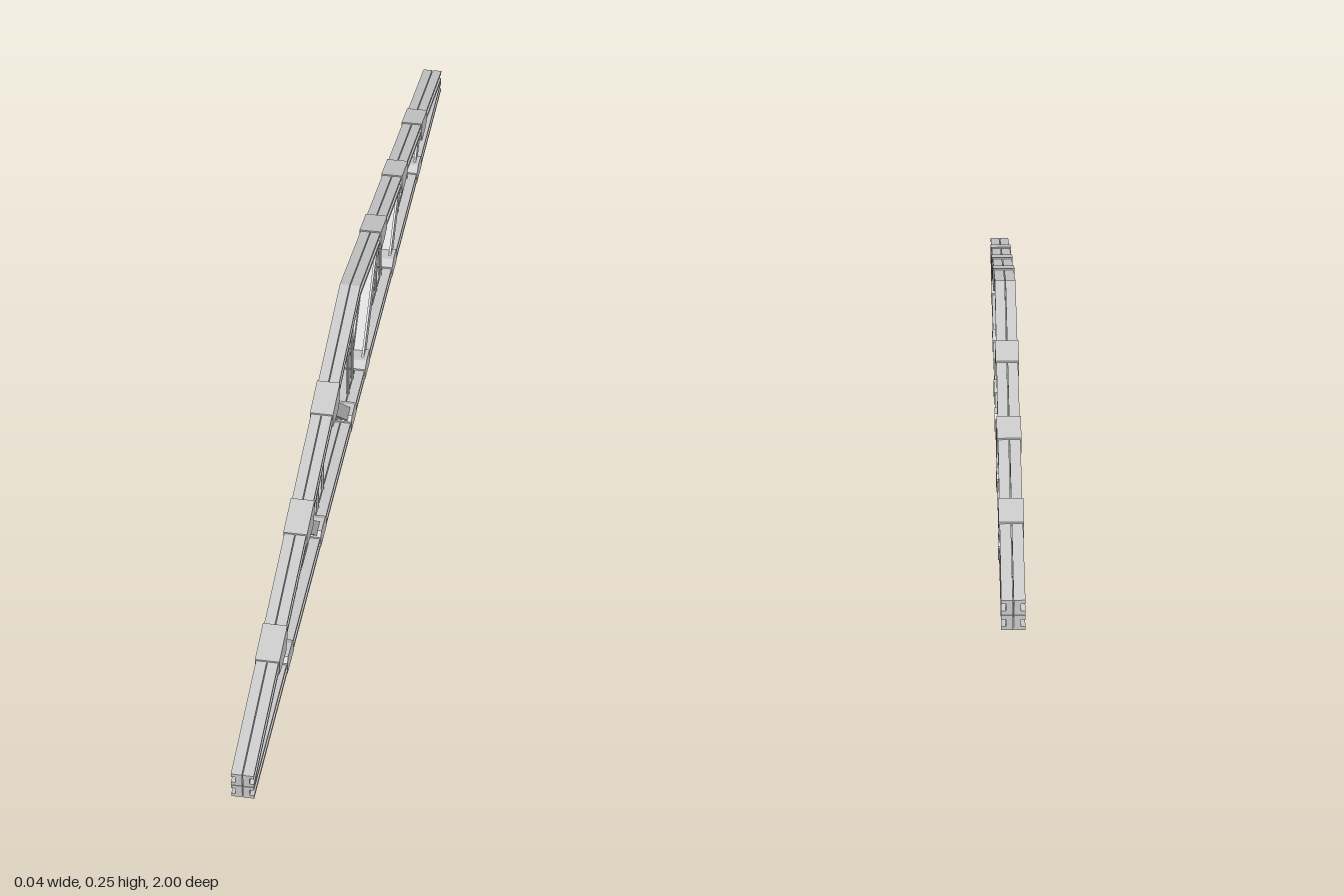
import * as THREE from 'three';

const mat = new THREE.MeshStandardMaterial({ color: 0xcccccc, flatShading: true });
const SLOPE = 0.198, APEX = 0.245, CHORD = 0.023, HALF = 0.0178;
const topAt = (z) => APEX - SLOPE * z;

function add(group, name, geometry) {
  const mesh = new THREE.Mesh(geometry, mat);
  mesh.name = name;
  group.add(mesh);
  return mesh;
}

function polygon(points) {
  return new THREE.Shape(points.map(([x, y]) => new THREE.Vector2(x, y)));
}

// One channel of a double chord: grooved outwards, with a narrow gap at x = 0
function channel(side, length) {
  const a = 0.0007, g = 0.011, h = CHORD;
  const pts = [[a, 0], [HALF, 0], [HALF, 0.006], [g, 0.006],
    [g, h - 0.006], [HALF, h - 0.006], [HALF, h], [a, h]];
  const shape = polygon(pts.map(([x, y]) => [x * side, y]));
  return new THREE.ExtrudeGeometry(shape, { depth: length, bevelEnabled: false });
}

// Lean a geometry so that its height follows the roof slope
function shear(geometry, slope) {
  geometry.applyMatrix4(new THREE.Matrix4().set(
    1, 0, 0, 0, 0, 1, -slope, 0, 0, 0, 1, 0, 0, 0, 0, 1));
  geometry.computeVertexNormals();
  return geometry;
}

// Plate outlined in (z, y), thick across x
function plate(points, x0, x1) {
  const g = new THREE.ExtrudeGeometry(polygon(points.map(([z, y]) => [-z, y])),
    { depth: x1 - x0, bevelEnabled: false });
  g.rotateY(Math.PI / 2);
  g.translate(x0, 0, 0);
  return g;
}

// Diagonal brace: a U channel between two (z, y) points, open on its upper side
function brace(group, [z0, y0], [z1, y1]) {
  const w = 0.0125, t = 0.004, d = 0.012;
  const shape = polygon([[-w, -d], [w, -d], [w, d], [w - t, d],
    [w - t, 0], [t - w, 0], [t - w, d], [-w, d]]);
  const length = Math.hypot(z1 - z0, y1 - y0);
  const g = new THREE.ExtrudeGeometry(shape, { depth: length, bevelEnabled: false });
  g.rotateX(-Math.atan2(y1 - y0, z1 - z0));
  g.translate(0, y0, z0);
  add(group, 'diagonalBrace', g);
}

function halfTruss() {
  const half = new THREE.Group();

  // Sloping chord, mitred at the ridge
  for (const side of [-1, 1]) {
    const g = shear(channel(side, 1), SLOPE);
    g.translate(0, APEX - CHORD, 0);
    add(half, 'topChord', g);
  }

  // Diagonals with their connectors: [lower z, upper z]
  for (const [low, high] of [[0.075, 0.255], [0.385, 0.505], [0.695, 0.755]]) {
    brace(half, [low, 0.02], [high, topAt(high) - 0.015]);

    // Sleeve around the sloping chord
    const sleeve = shear(new THREE.BoxGeometry(0.039, CHORD + 0.003, 0.07).toNonIndexed(), SLOPE);
    sleeve.translate(0, topAt(high) - CHORD / 2 + 0.001, high);
    add(half, 'upperSleeve', sleeve);

    // Tapered cheek plates below the sleeve
    const under = (z) => topAt(z) - CHORD;
    add(half, 'upperGusset', plate([
      [high - 0.035, under(high - 0.035)], [high - 0.025, under(high) - 0.012],
      [high + 0.008, under(high) - 0.012], [high + 0.035, under(high + 0.035)],
      [high + 0.035, topAt(high + 0.035)], [high - 0.035, topAt(high - 0.035)],
    ], -0.0193, 0.0193));

    // Connector seated on the bottom chord
    add(half, 'lowerGusset', plate([
      [low - 0.028, 0.004], [low + 0.028, 0.004], [low + 0.028, 0.026],
      [low + 0.02, 0.034], [low - 0.012, 0.034], [low - 0.028, 0.026],
    ], -0.0193, 0.0193));
  }

  // Thin hanger rods
  for (const z of [0.022, 0.285, 0.335, 0.54, 0.652]) {
    const y0 = 0.015, y1 = topAt(z) - CHORD + 0.004;
    const rod = new THREE.CylinderGeometry(0.0027, 0.0027, y1 - y0, 8);
    rod.translate(0, (y0 + y1) / 2, z);
    add(half, 'hangerRod', rod);
  }
  return half;
}

export function createModel() {
  const truss = new THREE.Group();
  truss.name = 'roofTruss';

  // Level chord along the base
  for (const side of [-1, 1]) {
    const g = channel(side, 2);
    g.translate(0, 0, -1);
    add(truss, 'bottomChord', g);
  }

  const front = halfTruss();
  front.name = 'frontHalf';
  const back = halfTruss();
  back.name = 'backHalf';
  back.rotation.y = Math.PI;
  truss.add(front, back);
  return truss;
}
